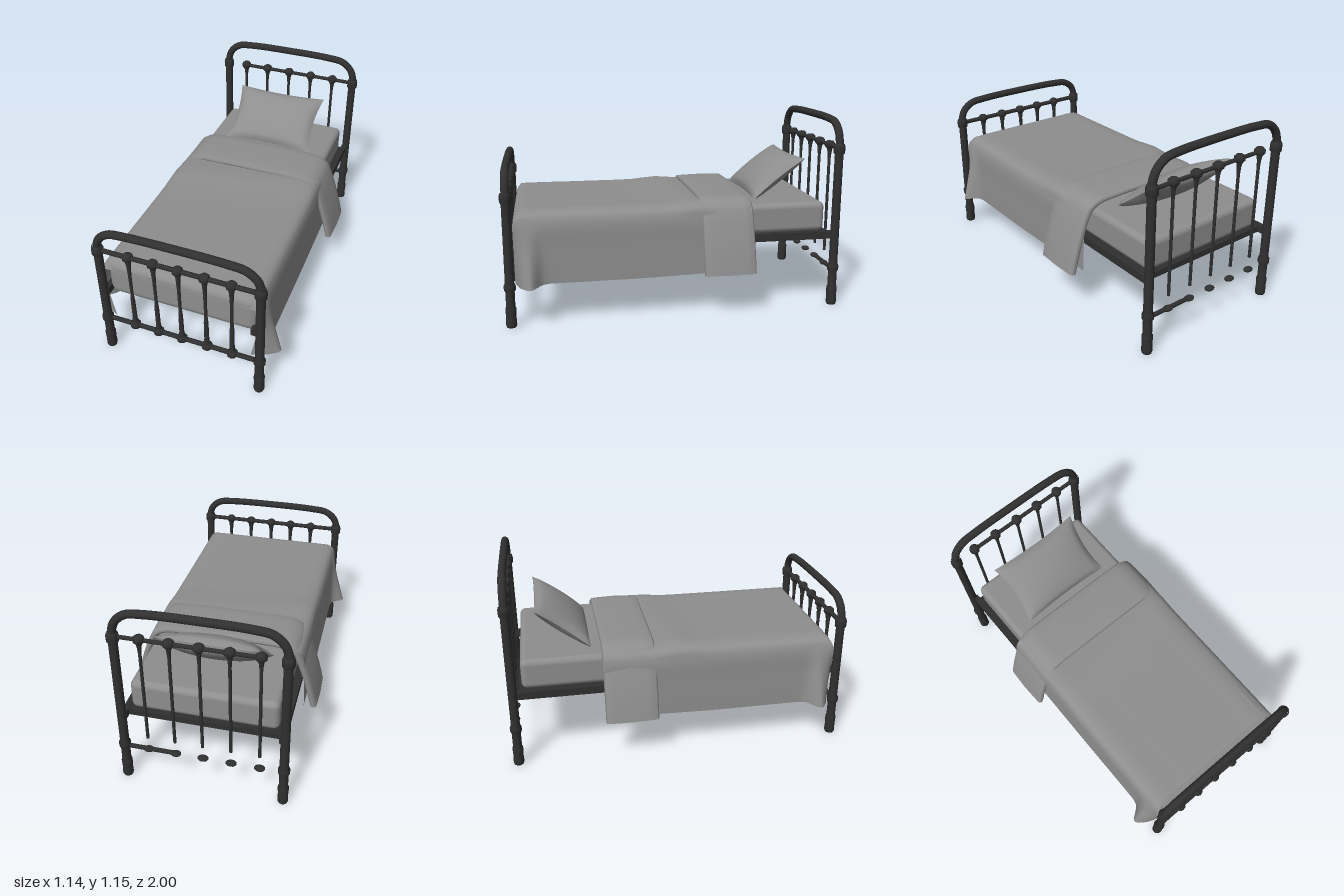
import * as THREE from 'three';
import { RoundedBoxGeometry } from 'three/addons/geometries/RoundedBoxGeometry.js';

const iron = new THREE.MeshStandardMaterial({ name: 'dark iron', color: 0x303030 });
const linen = new THREE.MeshStandardMaterial({ name: 'grey linen', color: 0x8e8e8e, side: THREE.DoubleSide });

function add(parent, name, geometry, material, x = 0, y = 0, z = 0) {
  const mesh = new THREE.Mesh(geometry, material);
  mesh.name = name;
  mesh.position.set(x, y, z);
  parent.add(mesh);
  return mesh;
}

const lathe = (pts, sides = 16) =>
  new THREE.LatheGeometry(pts.map(([r, y]) => new THREE.Vector2(r, y)), sides);

// Box given by its lower and upper corners, with rounded edges
function roundBox(parent, name, material, a, b, radius) {
  const size = a.map((v, i) => b[i] - v);
  add(parent, name, new RoundedBoxGeometry(...size, 5, radius), material,
    ...a.map((v, i) => (v + b[i]) / 2));
}

// Grid surface from a function of two parameters in 0..1
function sheet(nu, nv, f) {
  const pos = [], index = [];
  for (let j = 0; j <= nv; j++) for (let i = 0; i <= nu; i++) {
    pos.push(...f(i / nu, j / nv));
    if (i < nu && j < nv) {
      const a = j * (nu + 1) + i, b = a + nu + 1;
      index.push(a, b, a + 1, a + 1, b, b + 1);
    }
  }
  const g = new THREE.BufferGeometry();
  g.setAttribute('position', new THREE.Float32BufferAttribute(pos, 3));
  g.setIndex(index);
  g.computeVertexNormals();
  return g;
}

// Smooth symmetric curve through half-section points that start at the centre line
function arc(half) {
  const pts = [...half.slice(1).reverse().map(([x, y]) => [-x, y]), ...half];
  return new THREE.CatmullRomCurve3(pts.map(([x, y]) => new THREE.Vector3(x, y, 0)), false, 'centripetal');
}

function bar(parent, name, x0, x1, y, r) {
  const g = new THREE.CylinderGeometry(r, r, x1 - x0, 10).rotateZ(Math.PI / 2);
  add(parent, name, g, iron, (x0 + x1) / 2, y);
}

// Cast joint where a spindle meets a bar
function knob(parent, x, y) {
  add(parent, 'castJoint', lathe([[0, -0.022], [0.02, -0.022], [0.031, -0.01], [0.031, 0.01],
    [0.02, 0.022], [0, 0.022]], 10), iron, x, y);
}

// Two posts with collars, joined by a bent tube
function endFrame(name, z, left, right, joint, top) {
  const g = new THREE.Group();
  g.name = name;
  g.position.z = z;
  const post = lathe([[0, 0], [0.027, 0], [0.031, 0.012], [0.029, 0.06], [0.031, 0.095], [0.031, 0.11], [0.026, 0.12],
    [0.026, 0.21], [0.033, 0.22], [0.034, 0.245], [0.026, 0.262],
    [0.025, joint - 0.035], [0.033, joint - 0.025], [0.034, joint + 0.01],
    [0.029, joint + 0.027], [0.024, joint + 0.03]]);
  for (const x of [left, right]) add(g, 'post', post, iron, x);
  const mid = (left + right) / 2, w = (right - left) / 2, h = top - joint;
  const curve = arc([[0, top], [w - 0.18, top - 0.005], [w - 0.08, top - 0.12 * h],
    [w - 0.022, top - 0.42 * h], [w, top - 0.8 * h], [w, joint]]);
  add(g, 'bentTopTube', new THREE.TubeGeometry(curve, 64, 0.023, 14), iron, mid);
  return g;
}

function pillowSide(sign) {
  return sheet(24, 20, (a, b) => {
    const u = a * 2 - 1, v = b * 2 - 1;
    const puff = Math.pow((1 - u * u) * (1 - v * v), 0.45);
    return [0.3 * u * (1 - 0.09 * (1 - v * v)), sign * 0.068 * puff, 0.2 * v * (1 - 0.07 * (1 - u * u))];
  });
}

export function createModel() {
  const bed = new THREE.Group();
  bed.name = 'bed';

  // Footboard
  const foot = endFrame('footboard', 0.965, -0.472, 0.466, 0.75, 0.895);
  for (const y of [0.75, 0.235]) bar(foot, 'footCrossbar', -0.472, 0.466, y, 0.014);
  const footSpindle = lathe([[0.02, 0.25], [0.014, 0.29], [0.013, 0.42], [0.009, 0.48],
    [0.01, 0.62], [0.013, 0.69], [0.02, 0.74]], 10);
  for (const x of [-0.29, -0.142, 0.003, 0.155, 0.306]) {
    add(foot, 'footSpindle', footSpindle, iron, x);
    knob(foot, x, 0.75);
    knob(foot, x, 0.235);
  }
  bed.add(foot);

  // Headboard
  const head = endFrame('headboard', -0.965, -0.475, 0.437, 0.965, 1.13);
  bar(head, 'headCrossbar', -0.35, 0.437, 0.968, 0.012);
  bar(head, 'lowerHeadBar', 0.14, 0.437, 0.222, 0.013);
  const headSpindle = lathe([[0, 0.3], [0.009, 0.303], [0.009, 0.88], [0.012, 0.92], [0.019, 0.955]], 10);
  for (const x of [-0.34, -0.18, -0.02, 0.138, 0.295]) {
    add(head, 'headSpindle', headSpindle, iron, x);
    knob(head, x, 0.97);
    add(head, 'lowerFinial', new THREE.SphereGeometry(0.032, 12, 8).scale(1, 0.45, 0.75), iron, x, 0.22);
  }
  bed.add(head);

  // Side rails and base
  for (const x of [-0.457, 0.425])
    add(bed, 'sideRail', new THREE.BoxGeometry(0.032, 0.045, 1.92), iron, x, 0.441);
  add(bed, 'base', new THREE.BoxGeometry(0.87, 0.035, 1.82), iron, -0.016, 0.44, -0.02);

  // Mattress and the blanket tucked over its foot end
  roundBox(bed, 'mattress', linen, [-0.43, 0.455, -0.912], [0.4, 0.636, 0.85], 0.035);
  roundBox(bed, 'blanketFootEnd', linen, [-0.46, 0.4, 0.6], [0.44, 0.655, 0.935], 0.06);

  // Blanket draped over the sides, flaring out at the foot corners
  const drape = arc([[0, 0.658], [0.25, 0.658], [0.39, 0.655], [0.445, 0.635], [0.468, 0.585],
    [0.475, 0.45], [0.479, 0.35], [0.482, 0.245]]);
  const stations = [-0.44, -0.3, -0.15, -0.08, 0, 0.08, 0.16, 0.25, 0.4, 0.55, 0.68, 0.74, 0.77,
    0.79, 0.81, 0.83, 0.85, 0.87, 0.89, 0.905, 0.92, 0.93, 0.936];
  add(bed, 'blanket', sheet(72, stations.length - 1, (u, v) => {
    const p = drape.getPoint(u);
    const z = stations[Math.round(v * (stations.length - 1))];
    const low = Math.max(0, (0.6 - p.y) / 0.355);
    const flare = 0.085 * Math.exp(-(((z - 0.85) / 0.05) ** 2));
    const curl = 0.07 * Math.max(0, (z - 0.9) / 0.036) ** 1.5;
    const x = p.x + Math.sign(p.x) * (flare - curl) * low ** 1.2;
    const drop = 0.09 * Math.max(0, (z - 0.87) / 0.066) ** 2;
    const wrinkle = 0.016 * Math.exp(-(((z + 0.06 + 0.15 * p.x) / 0.11) ** 2));
    const hem = low * (0.025 * Math.max(0, 0.2 - z) - 0.012 * Math.max(0, z - 0.75) / 0.18);
    return [x - 0.012, Math.min(p.y + (p.y > 0.6 ? wrinkle : 0) + hem, 0.675 - drop), z];
  }), linen);

  // Turned-down band with rolled edges
  const band = arc([[0, 0.69], [0.25, 0.688], [0.37, 0.68], [0.43, 0.65], [0.465, 0.59],
    [0.505, 0.48], [0.538, 0.37], [0.565, 0.262]]);
  const edge = [[-0.425, -0.035], [-0.442, -0.03], [-0.45, -0.015], [-0.44, -0.002], [-0.4, 0], [-0.3, 0.003],
    [-0.2, 0], [-0.15, -0.002], [-0.14, -0.015], [-0.147, -0.03], [-0.165, -0.035]];
  add(bed, 'turnedDownBand', sheet(64, edge.length - 1, (u, v) => {
    const p = band.getPoint(u);
    const [z, d] = edge[Math.round(v * (edge.length - 1))];
    const s = 1 + d / 0.48;
    return [p.x * s - 0.005, p.y > 0.3 ? 0.26 + (p.y - 0.26) * s : p.y, z];
  }), linen);

  // Pillow leaning back towards the headboard
  const pillow = new THREE.Group();
  pillow.name = 'pillow';
  for (const s of [1, -1]) add(pillow, 'pillowFace', pillowSide(s), linen);
  pillow.position.set(-0.017, 0.762, -0.658);
  pillow.rotation.x = 0.66;
  bed.add(pillow);

  return bed;
}
